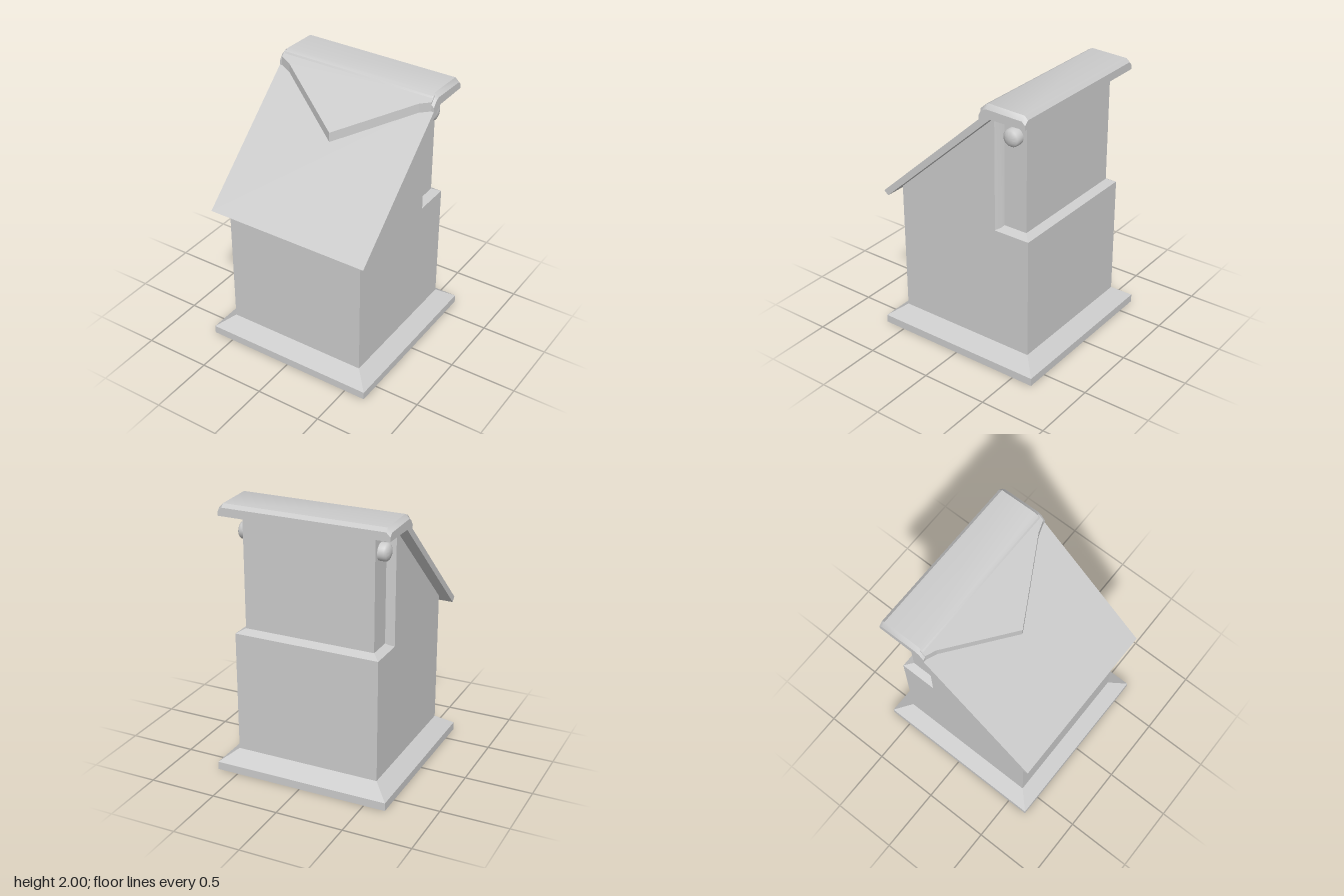
import * as THREE from 'three';
import { toCreasedNormals } from 'three/addons/utils/BufferGeometryUtils.js';

const material = new THREE.MeshStandardMaterial({ color: 0xcccccc });

const toShape = (points) => new THREE.Shape(points.map(([a, b]) => new THREE.Vector2(a, b)));

// Side profile given as [z, y], extruded across x and centred.
function sideExtrude(points, width, steps = 1) {
  const g = new THREE.ExtrudeGeometry(toShape(points), { depth: width, steps, bevelEnabled: false });
  return g.translate(0, 0, -width / 2).rotateY(-Math.PI / 2);
}

// Plan outline given as [x, z] for the +x half, mirrored, extruded down from top.
function planExtrude(half, top, depth) {
  const mirrored = half.filter(([x]) => x > 0).map(([x, z]) => [-x, z]).reverse();
  const g = new THREE.ExtrudeGeometry(toShape([...half, ...mirrored]), { depth, bevelEnabled: false });
  return g.rotateX(Math.PI / 2).translate(0, top, 0);
}

// Square frustum given by its half widths.
function frustum(halfTop, halfBottom, y0, y1) {
  const r = Math.SQRT2;
  const g = new THREE.CylinderGeometry(halfTop * r, halfBottom * r, y1 - y0, 4).rotateY(Math.PI / 4);
  return toCreasedNormals(g.translate(0, (y0 + y1) / 2, 0), 0.3);
}

// Move every vertex by a rule and rebuild the normals.
function reshape(g, rule) {
  const p = g.attributes.position;
  const v = new THREE.Vector3();
  for (let i = 0; i < p.count; i++) {
    rule(v.fromBufferAttribute(p, i));
    p.setXYZ(i, v.x, v.y, v.z);
  }
  g.computeVertexNormals();
  return g;
}

export function createModel() {
  const group = new THREE.Group();
  const add = (name, geometry) => {
    const mesh = new THREE.Mesh(geometry, material);
    mesh.name = name;
    group.add(mesh);
    return mesh;
  };

  // Plinth with a sloping top
  add('plinthBase', frustum(0.66, 0.66, 0, 0.06));
  add('plinthSlope', frustum(0.545, 0.66, 0.06, 0.145));

  // Main body with a slanted front
  add('body', sideExtrude([
    [0.545, 0.14], [0.545, 1.135], [-0.27, 1.88], [-0.27, 1.05], [-0.545, 1.05], [-0.545, 0.14],
  ], 1.09));

  // Sloping ledge where the rear of the body narrows
  add('rearLedge', reshape(new THREE.BoxGeometry(1.09, 0.03, 0.275).toNonIndexed().translate(0, 1.065, -0.4075), (v) => {
    if (v.y > 1.065) {
      v.x = Math.sign(v.x) * 0.49;
      if (v.z < -0.4) v.z = -0.49;
    }
  }));

  // Narrower upper rear, blending into the sides
  add('upperRear', toCreasedNormals(planExtrude(
    [[0.49, -0.49], [0.49, -0.31], [0.51, -0.3], [0.545, -0.27]], 1.906, 0.85), 1.1));

  // Sloping roof panel
  add('roofPanel', sideExtrude([
    [0.61, 1.075], [0.645, 1.105], [-0.27, 1.94], [-0.3, 1.905],
  ], 1.26));

  // Ridge cap with chamfered ends
  const cap = sideExtrude([
    [-0.575, 1.905], [-0.3, 1.905], [-0.21, 1.88], [-0.21, 1.945], [-0.24, 1.985],
    [-0.27, 2.0], [-0.55, 1.99], [-0.575, 1.965],
  ], 1.26, 3);
  add('ridgeCap', toCreasedNormals(reshape(cap, (v) => {
    if (Math.abs(v.x) < 0.4) v.x = Math.sign(v.x) * 0.6;
    else if (v.y > 1.94) v.y -= 0.03;
  }), 0.6));

  // Pointed flap lying on the roof panel
  const flap = planExtrude([[0.61, -0.25], [0.61, -0.21], [0.53, -0.185], [0, 0.1]], 1.675, 0.08);
  add('roofFlap', reshape(flap, (v) => { v.y -= 0.9 * (v.z - 0.1); }));

  // Domed hinge knobs, one on each side
  const knobProfile = [[0, 0], [0.063, 0], [0.063, 0.05], [0.055, 0.062], [0.032, 0.073], [0, 0.077]]
    .map(([r, y]) => new THREE.Vector2(r, y));
  for (const side of [-1, 1]) {
    const knob = add(side > 0 ? 'leftKnob' : 'rightKnob',
      toCreasedNormals(new THREE.LatheGeometry(knobProfile, 28), 0.8));
    knob.rotation.z = -side * Math.PI / 2;
    knob.position.set(side * 0.485, 1.77, -0.4);
  }

  return group;
}
